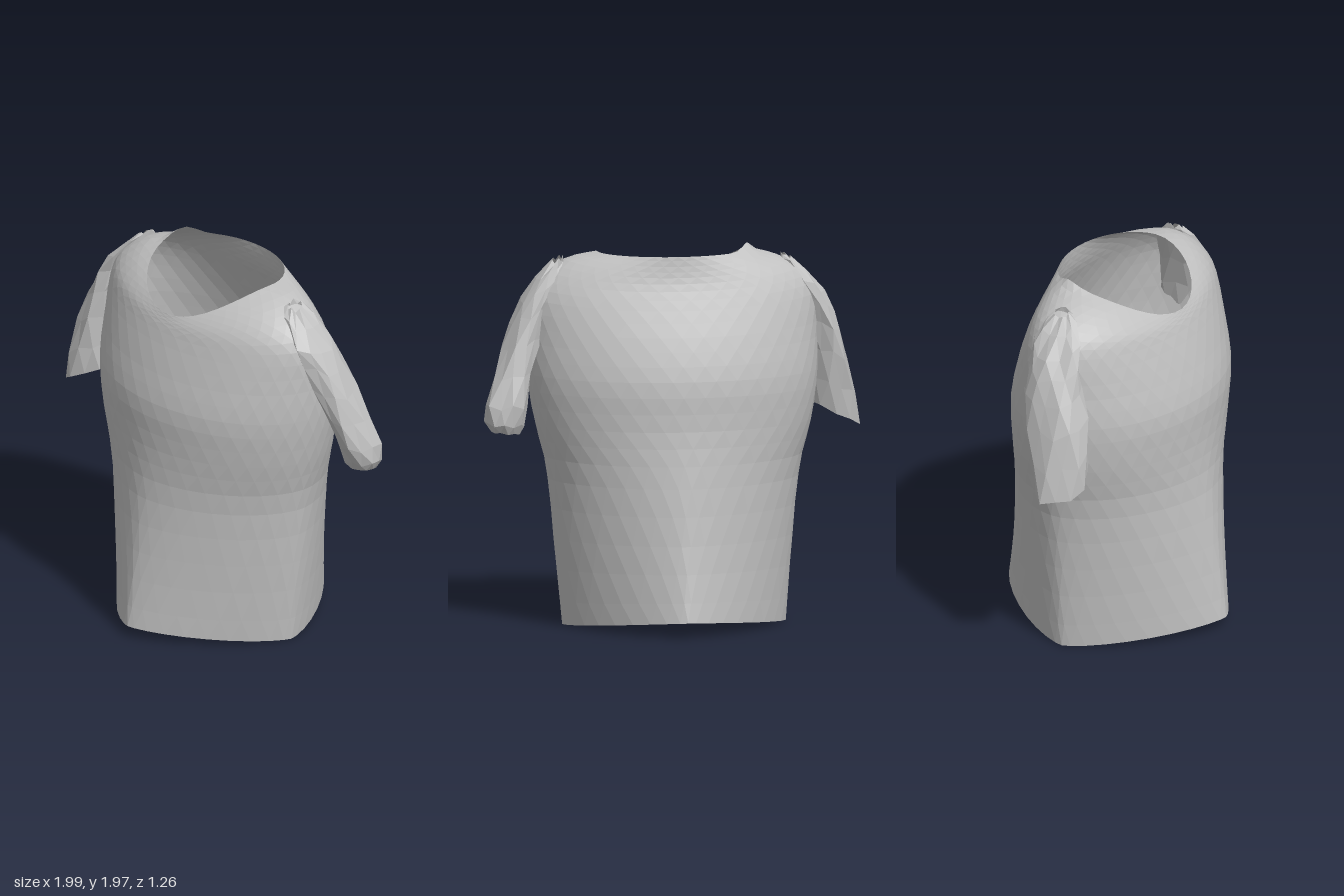
import * as THREE from 'three';

const cloth = new THREE.MeshStandardMaterial({ color: 0xc0c0c0, flatShading: true, side: THREE.DoubleSide });
cloth.name = 'grey cloth';

// Interpolate a list of section rows smoothly into `count` rows.
function refine(rows, count) {
  const out = [];
  for (let i = 0; i < count; i++) {
    const f = (i / (count - 1)) * (rows.length - 1);
    const k = Math.min(Math.floor(f), rows.length - 2), t = f - k;
    const at = (n) => rows[Math.max(0, Math.min(rows.length - 1, n))];
    out.push(rows[k].map((b, j) => {
      const a = at(k - 1)[j], c = at(k + 1)[j], d = at(k + 2)[j];
      return b + 0.5 * t * (c - a + t * (2 * a - 5 * b + 4 * c - d + t * (3 * (b - c) + d - a)));
    }));
  }
  return out;
}

// Skin closed rings, listed from bottom to top, into an open tube.
function loft(name, rows, sides, point) {
  const pos = [], index = [];
  rows.forEach((row, r) => {
    for (let s = 0; s < sides; s++) {
      pos.push(...point(row, ((s + (r % 2) * 0.5) / sides) * Math.PI * 2, r, s));
      if (r === rows.length - 1) continue;
      // alternate rows are offset by half a step, giving a triangular weave
      const n = (s + 1) % sides, a = r * sides + s, b = r * sides + n;
      const c = a + sides, d = b + sides;
      if (r % 2) index.push(a, d, b, a, c, d);
      else index.push(a, c, b, b, c, d);
    }
  });
  const g = new THREE.BufferGeometry();
  g.setAttribute('position', new THREE.Float32BufferAttribute(pos, 3));
  g.setIndex(index);
  g.computeVertexNormals();
  const mesh = new THREE.Mesh(g, cloth);
  mesh.name = name;
  return mesh;
}

const power = (v, e) => Math.sign(v) * Math.abs(v) ** e;

// Torso sections: side y, front y, back y, left x, right x, front z, back z, roundness
const torso = [
  [0.00, 0.06, 0.08, 0.56, 0.60, 0.63, 0.63, 1.40],
  [0.40, 0.42, 0.42, 0.60, 0.63, 0.58, 0.57, 1.55],
  [0.80, 0.80, 0.80, 0.64, 0.67, 0.53, 0.52, 1.75],
  [1.05, 1.05, 1.05, 0.70, 0.73, 0.52, 0.49, 1.90],
  [1.28, 1.28, 1.28, 0.74, 0.76, 0.52, 0.48, 1.95],
  [1.50, 1.48, 1.48, 0.75, 0.76, 0.47, 0.43, 1.95],
  [1.70, 1.66, 1.66, 0.74, 0.75, 0.41, 0.36, 1.95],
  [1.82, 1.71, 1.78, 0.66, 0.68, 0.39, 0.31, 2.00],
  [1.90, 1.73, 1.86, 0.53, 0.54, 0.38, 0.29, 2.00],
  [1.93, 1.75, 1.93, 0.38, 0.40, 0.37, 0.28, 2.00],
];

function torsoPoint([ySide, yFront, yBack, left, right, front, back, p], angle) {
  const c = Math.cos(angle), s = Math.sin(angle);
  const x = power(c, 2 / p) * (c > 0 ? left : right);
  const z = power(s, 2 / p) * (s > 0 ? front : back);
  let y = ySide + ((s > 0 ? yFront : yBack) - ySide) * Math.abs(s) ** 1.8;
  // small raised pleat beside the neck
  y += 0.05 * Math.exp(-(((x + 0.36) / 0.06) ** 2) - ((z + 0.06) / 0.08) ** 2) * (y > 1.8 ? 1 : 0);
  return [x, y, z];
}

// Sleeve sections: centre x, y, z, half width, half depth, tilt
const leftSleeve = [
  [0.89, 1.03, -0.21, 0.07, 0.07, 0.1],
  [0.885, 1.12, -0.20, 0.11, 0.11, 0.0],
  [0.83, 1.35, -0.13, 0.10, 0.12, -0.2],
  [0.745, 1.60, -0.06, 0.10, 0.12, -0.4],
  [0.66, 1.79, -0.01, 0.10, 0.12, -0.7],
  [0.59, 1.89, 0.00, 0.03, 0.04, -0.5],
];
const rightSleeve = [
  [-0.845, 1.07, 0.14, 0.15, 0.14, 0.5],
  [-0.825, 1.35, 0.10, 0.12, 0.16, 0.4],
  [-0.77, 1.60, 0.05, 0.10, 0.14, 0.5],
  [-0.68, 1.79, 0.02, 0.10, 0.12, 0.7],
  [-0.60, 1.89, 0.00, 0.03, 0.04, 0.5],
];

// Sleeve rings are lightly crumpled by a fixed wave.
function sleevePoint([cx, cy, cz, w, d, tilt], angle, r, s) {
  const k = 1 + 0.1 * Math.sin(s * 2.3 + r * 1.7);
  const dx = Math.cos(angle) * w * k;
  return [
    Math.max(-1, Math.min(1, cx + dx)),
    cy + dx * tilt + 0.012 * Math.sin(s * 3.1 + r),
    cz + Math.sin(angle) * d * k,
  ];
}

export function createModel() {
  const shirt = new THREE.Group();
  shirt.name = 'shirt';
  shirt.add(
    loft('torso', refine(torso, 25), 40, torsoPoint),
    loft('leftSleeve', refine(leftSleeve, 9), 11, sleevePoint),
    loft('rightSleeve', refine(rightSleeve, 8), 11, sleevePoint),
  );
  return shirt;
}
